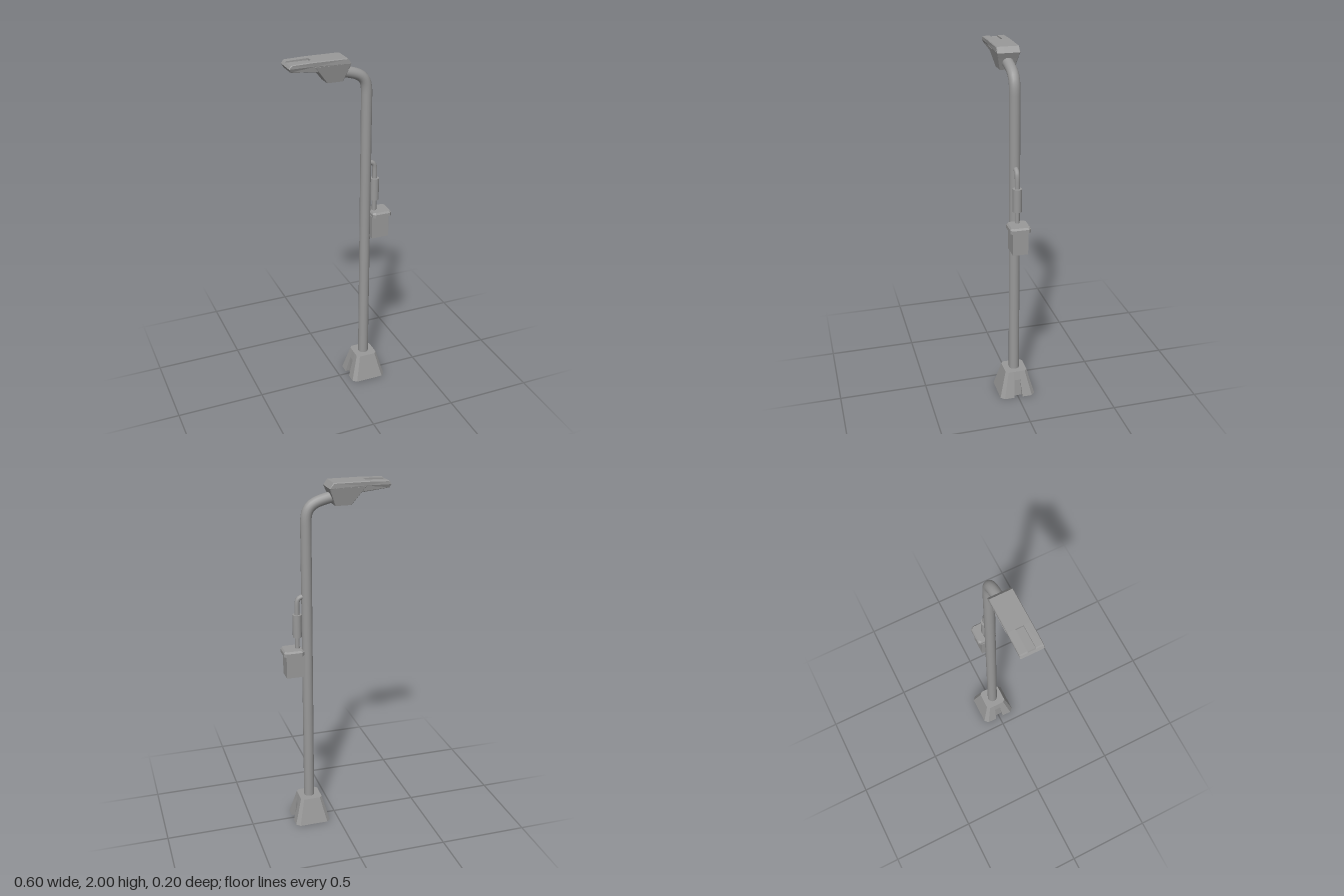
import * as THREE from 'three';

const material = new THREE.MeshStandardMaterial({ color: 0x999999 });
const V = (x, y, z = 0) => new THREE.Vector3(x, y, z);

function add(parent, name, geometry, x = 0, y = 0, z = 0) {
  const mesh = new THREE.Mesh(geometry, material);
  mesh.name = name;
  mesh.position.set(x, y, z);
  parent.add(mesh);
  return mesh;
}

// Flat-faced solid through a stack of equal-length rings, closed at the end
// and, unless left open, at the start. Rings run counter-clockwise seen from the end.
function loft(rings, openStart = false) {
  const pos = [];
  const tri = (...points) => points.forEach((p) => pos.push(p.x, p.y, p.z));
  const n = rings[0].length;
  const centre = (r) => r.reduce((s, p) => s.add(p), V(0, 0)).divideScalar(n);
  const first = rings[0], last = rings[rings.length - 1];
  const c0 = centre(first), c1 = centre(last);
  for (let j = 0; j < n; j++) {
    const k = (j + 1) % n;
    for (let i = 0; i + 1 < rings.length; i++) {
      const lo = rings[i], hi = rings[i + 1];
      tri(lo[j], lo[k], hi[k]);
      tri(lo[j], hi[k], hi[j]);
    }
    if (!openStart) tri(c0, first[k], first[j]);
    tri(c1, last[j], last[k]);
  }
  const geometry = new THREE.BufferGeometry();
  geometry.setAttribute('position', new THREE.Float32BufferAttribute(pos, 3));
  geometry.computeVertexNormals();
  return geometry;
}

// Horizontal rectangle with cut corners and an optional slot in both x sides.
function ring(y, cx, hx, hz, cut, slot = 0, w = 0.018) {
  const half = [
    [hx - cut, hz], [hx, hz - cut], [hx, w], [hx - slot, w],
    [hx - slot, -w], [hx, -w], [hx, cut - hz], [hx - cut, -hz],
  ];
  return [...half, ...half.map(([x, z]) => [-x, -z])].map(([x, z]) => V(cx + x, y, z));
}

// Side profile of the lamp cover, narrower along its underside;
// floor is the height of the groove in its top.
function headRing(z, floor, inset = 1) {
  return [
    [-0.286, 1.957], [-0.127, 1.94], [0.03, 1.94], [0.042, 1.97], [0.02, 2],
    [-0.165, 2], [-0.165, floor], [-0.282, Math.min(floor, 1.996)],
    [-0.288, 1.99], [-0.297, 1.977],
  ].map(([x, y]) => V(
    -0.13 + (x + 0.13) * (0.9 + inset * 0.1),
    1.97 + (y - 1.97) * inset,
    y < 1.96 ? z * 0.88 : z,
  ));
}

export function createModel() {
  const model = new THREE.Group();
  model.name = 'streetLight';
  const poleX = 0.155;

  // Hollow tapered foot with a slot fading out up each side
  const base = add(model, 'base', loft([
    ring(0, 0.155, 0.103, 0.102, 0.021, 0.022, 0.025),
    ring(0.1, 0.155, 0.076, 0.076, 0.017, 0.002),
    ring(0.15, 0.155, 0.063, 0.063, 0.015),
  ], true));
  base.material = material.clone();
  base.material.side = THREE.DoubleSide;

  // Pole and bent arm
  add(model, 'pole', new THREE.CylinderGeometry(0.03, 0.03, 1.64, 16), poleX, 0.96);
  const bend = new THREE.CubicBezierCurve3(
    V(poleX, 1.78), V(poleX, 1.885), V(0.12, 1.895), V(-0.02, 1.923));
  add(model, 'arm', new THREE.TubeGeometry(bend, 14, 0.03, 16));

  // Lamp head: flat grooved cover and the tapered housing under it
  const head = new THREE.Group();
  head.name = 'lampHead';
  model.add(head);
  const floor = 1.989;
  add(head, 'lampCover', loft([
    headRing(-0.062, 2, 0.85), headRing(-0.059, 2), headRing(-0.021, 2),
    headRing(-0.021, floor), headRing(0.021, floor),
    headRing(0.021, 2), headRing(0.059, 2), headRing(0.062, 2, 0.85),
  ]));
  add(head, 'lampHousing', loft([
    ring(1.875, -0.04, 0.045, 0.04, 0.003),
    ring(1.97, -0.058, 0.099, 0.0615, 0.003),
  ]));

  // Control box with an overhanging bevelled lid
  const box = new THREE.Group();
  box.name = 'controlBox';
  model.add(box);
  add(box, 'boxBody', new THREE.BoxGeometry(0.103, 0.135, 0.084), 0.2325, 0.9975);
  add(box, 'boxLid', loft([
    ring(1.06, 0.241, 0.057, 0.057, 0.013),
    ring(1.08, 0.241, 0.057, 0.057, 0.013),
    ring(1.09, 0.241, 0.05, 0.05, 0.011),
  ]));

  // Conduit from the box through a sleeve and into the pole
  const pipeX = 0.211;
  add(box, 'lowerPipe', new THREE.CylinderGeometry(0.013, 0.013, 0.08, 12), pipeX, 1.12);
  add(box, 'sleeve', new THREE.CylinderGeometry(0.025, 0.025, 0.13, 16), pipeX, 1.22);
  const elbow = new THREE.CubicBezierCurve3(
    V(pipeX, 1.28), V(pipeX, 1.385), V(pipeX, 1.375), V(0.16, 1.39));
  add(box, 'upperPipe', new THREE.TubeGeometry(elbow, 14, 0.014, 12));

  return model;
}
